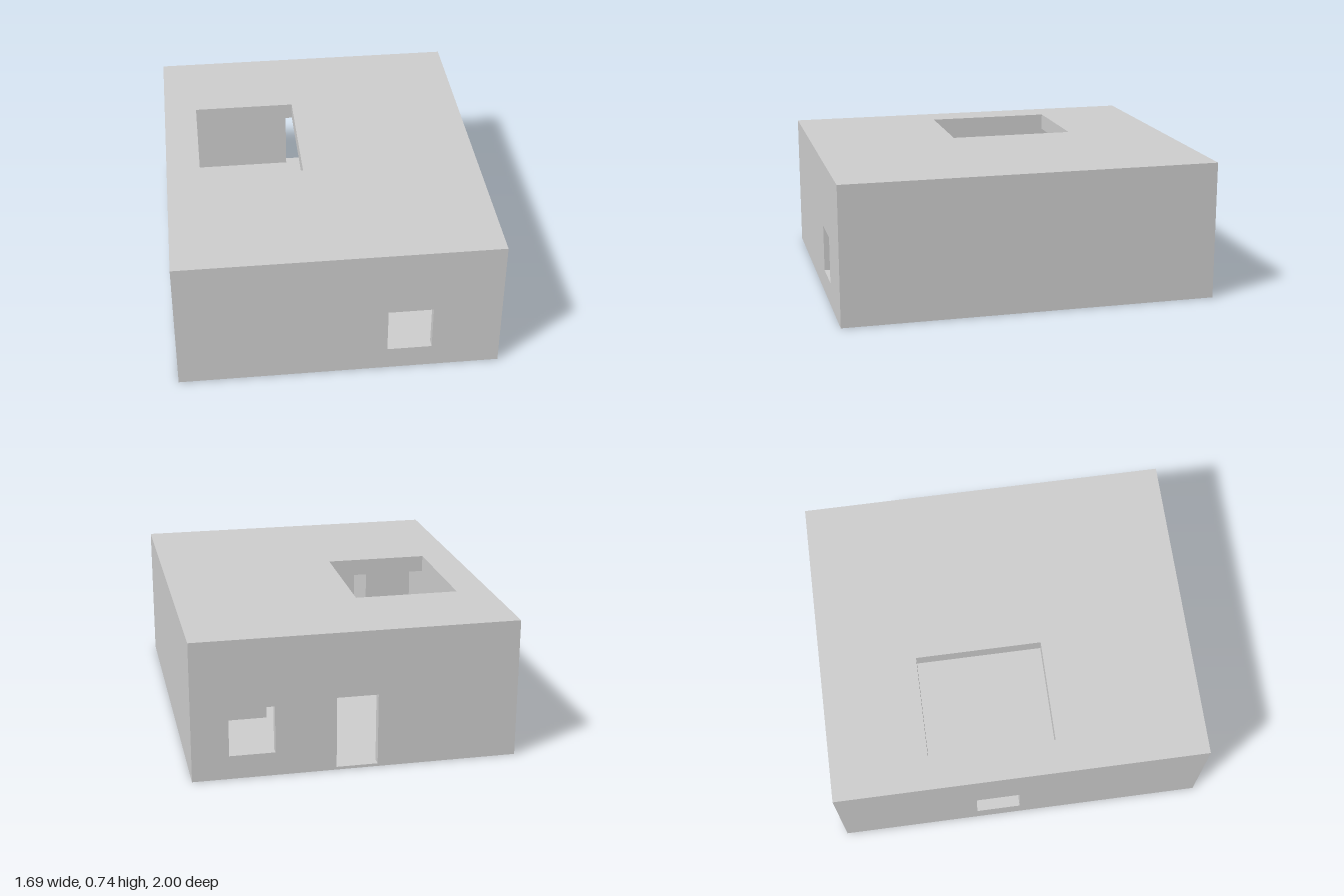
import * as THREE from 'three';

const W = 0.845, D = 1, H = 0.74;      // half width, half depth, height
const T = 0.047, CEIL = 0.65, FLOOR = 0.015;
const SILL = 0.125, HEAD = 0.375, DOOR = 0.395;

const material = new THREE.MeshStandardMaterial({ color: 0xcccccc, flatShading: true });

function rect(Type, x0, x1, y0, y1) {
  const p = new Type();
  p.moveTo(x0, y0);
  p.lineTo(x1, y0);
  p.lineTo(x1, y1);
  p.lineTo(x0, y1);
  p.closePath();
  return p;
}

// Flat slab with rectangular openings, each given as [x0, x1, y0, y1]
function slab(name, outline, openings, depth) {
  const shape = rect(THREE.Shape, ...outline);
  for (const o of openings) shape.holes.push(rect(THREE.Path, ...o));
  const geometry = new THREE.ExtrudeGeometry(shape, { depth, bevelEnabled: false });
  const mesh = new THREE.Mesh(geometry, material);
  mesh.name = name;
  return mesh;
}

function block(name, x0, x1, y0, y1, z0, z1) {
  const mesh = new THREE.Mesh(new THREE.BoxGeometry(x1 - x0, y1 - y0, z1 - z0), material);
  mesh.position.set((x0 + x1) / 2, (y0 + y1) / 2, (z0 + z1) / 2);
  mesh.name = name;
  return mesh;
}

export function createModel() {
  const house = new THREE.Group();
  house.name = 'house';

  // Front wall with one window
  const front = slab('frontWall', [-W, W, 0, CEIL], [[0.25, 0.485, SILL, HEAD]], T);
  front.position.z = D - T;

  // Back wall with a window and the entrance
  const back = slab('backWall', [-W, W, 0, CEIL],
    [[0.42, 0.655, SILL, HEAD], [-0.11, 0.105, FLOOR, DOOR]], T);
  back.position.z = -D;

  // Side walls fit between front and back; the one at -x has a window
  const sideOutline = [-D + T, D - T, 0, CEIL];
  const right = slab('rightWall', sideOutline, [[0.01, 0.25, SILL, HEAD]], T);
  right.position.x = -W;
  const left = slab('leftWall', sideOutline, [], T);
  left.position.x = W - T;
  for (const wall of [right, left]) wall.rotation.y = Math.PI / 2;

  // Roof slab with the open skylight
  const roof = slab('roof', [-W, W, -D, D], [[-0.665, -0.11, -0.48, 0.2]], H - CEIL);
  roof.rotation.x = Math.PI / 2;
  roof.position.y = H;

  house.add(front, back, right, left, roof);
  house.add(block('floor', -W + T, W - T, 0, FLOOR, -D + T, D - T));

  // Partitions between the front and back rooms
  const partition = slab('partitionWithDoorway', [-0.02, W - T, 0, CEIL],
    [[0.27, 0.46, FLOOR, DOOR]], T);
  partition.position.z = 0.25;
  house.add(partition);
  house.add(block('partitionReturn', -0.48, -0.34, FLOOR, CEIL, 0.25, 0.25 + T));
  house.add(block('sideRoomPartition', -0.48, -0.48 + T, FLOOR, CEIL, 0.25 + T, D - T));

  // Low built-in furniture
  house.add(block('sideBench', -W + T, -0.48, FLOOR, 0.06, -0.19, -0.095));
  house.add(block('backRoomBench', 0.35, W - T, FLOOR, 0.14, -0.3, -0.1));

  return house;
}
